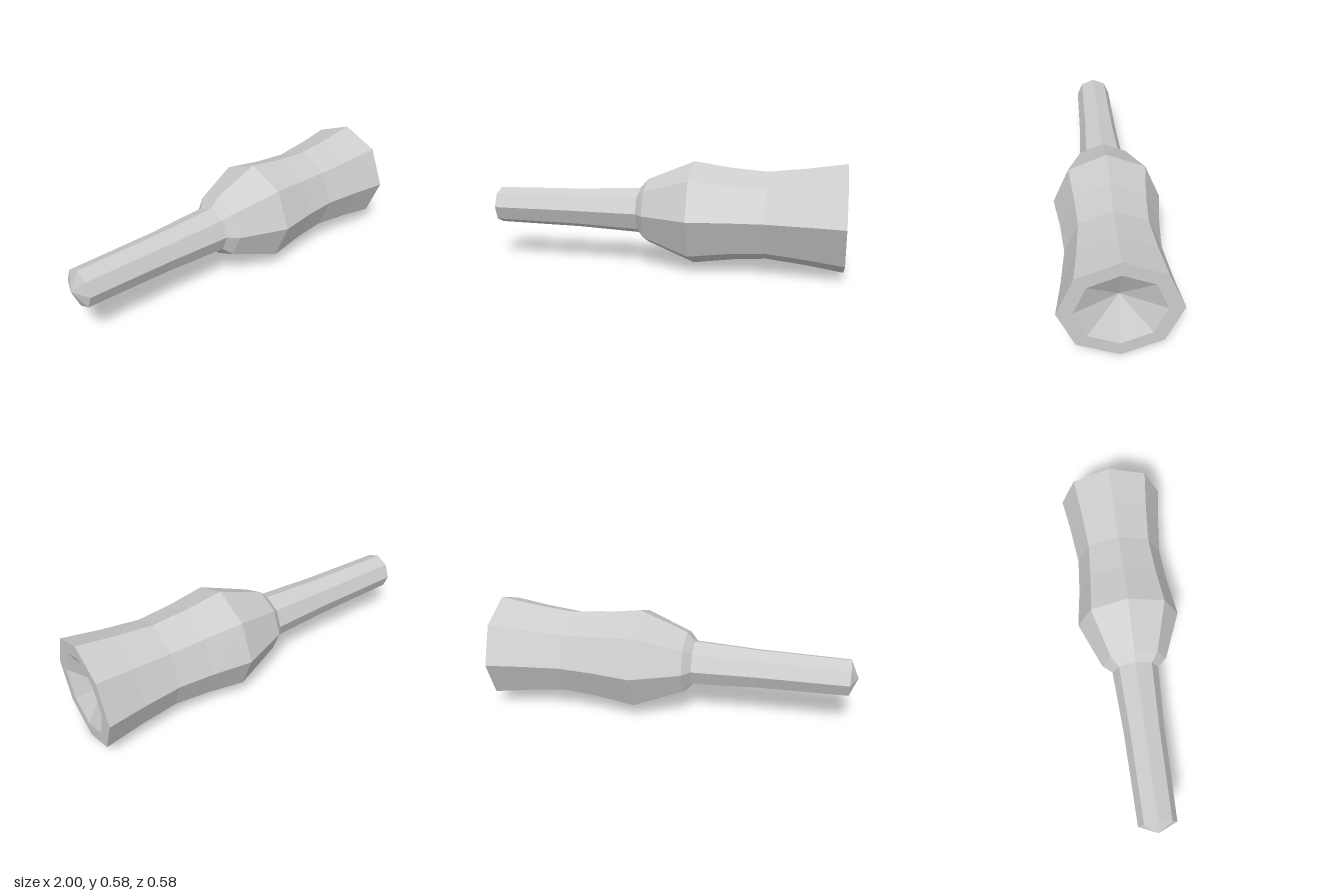
import * as THREE from 'three';

const AXIS_HEIGHT = 0.292;

export function createModel() {
  const group = new THREE.Group();
  group.name = 'handledSocket';
  const grey = new THREE.MeshStandardMaterial({ color: 0xcccccc, flatShading: true });
  grey.name = 'lightGrey';

  // Eight-sided turned part lying along x; the profile is a list of [x, radius]
  const turned = (name, profile) => {
    const points = profile.map(([x, r]) => new THREE.Vector2(r, x));
    const geometry = new THREE.LatheGeometry(points, 8);
    geometry.rotateZ(-Math.PI / 2);
    geometry.translate(0, AXIS_HEIGHT, 0);
    const mesh = new THREE.Mesh(geometry, grey);
    mesh.name = name;
    group.add(mesh);
  };

  // Slim shaft with a pointed tip
  turned('shaft', [[-1, 0], [-0.955, 0.102], [-0.47, 0.11], [-0.115, 0.127]]);

  // Swelling body with a waist and a flared mouth
  turned('body', [
    [-0.115, 0.127], [-0.07, 0.178], [0.19, 0.284], [0.4, 0.254],
    [0.59, 0.239], [0.8, 0.262], [1, 0.292],
  ]);

  // Flat rim around the mouth
  turned('rim', [[1, 0.292], [1, 0.216]]);

  // Conical hollow inside the mouth
  turned('hollow', [[1, 0.216], [0.89, 0]]);

  return group;
}
